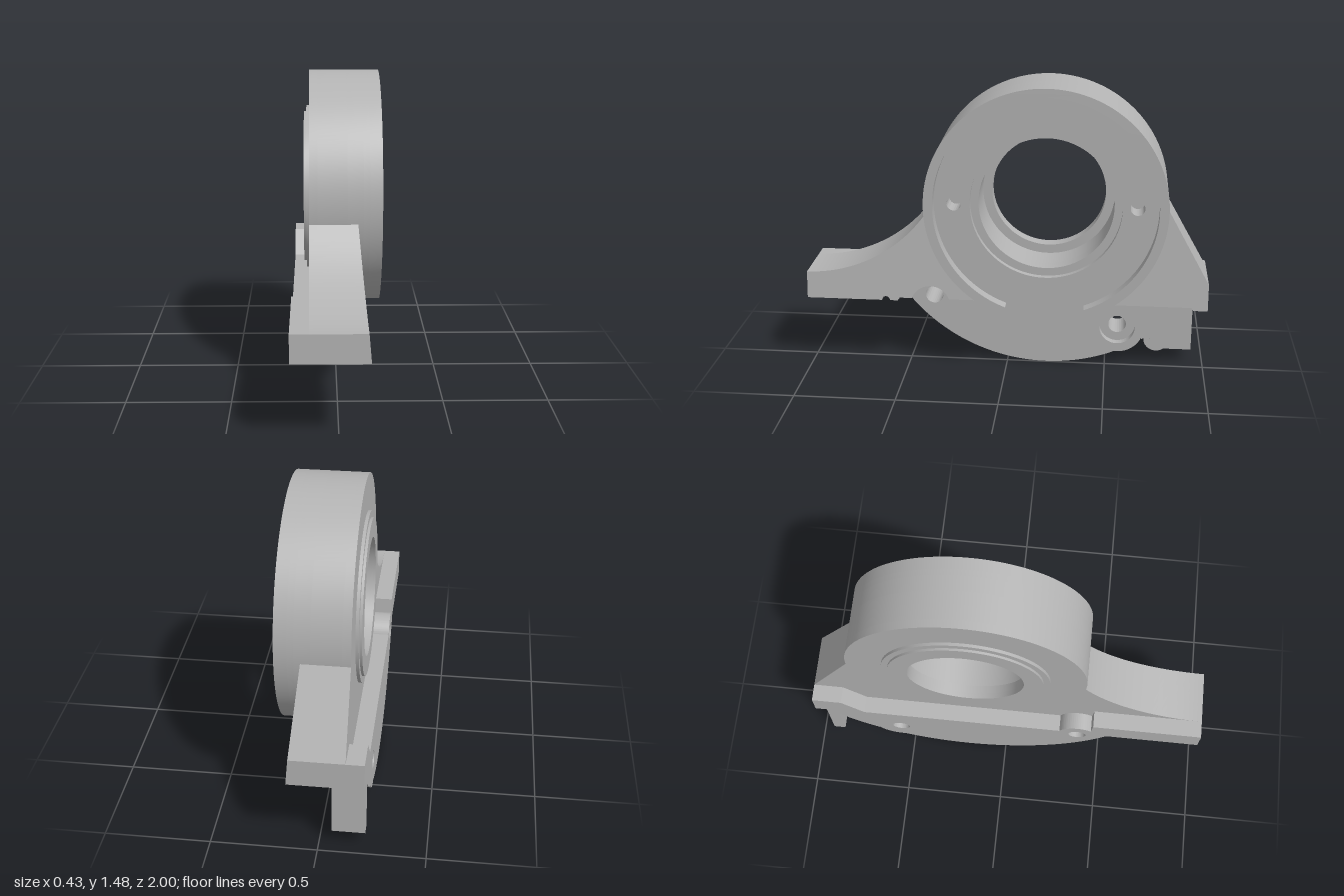
import * as THREE from 'three';
import { toCreasedNormals } from 'three/addons/utils/BufferGeometryUtils.js';

const PI = Math.PI;
const CU = 0.2, CY = 0.895;   // bore centre; profiles use u = -z and y
const CUT = 0.385;            // flat underside of the housing
const DISC = 0.59, PLATE = 0.895;

function circle(u, y, r) {
  return new THREE.Path().absarc(u, y, r, 0, 2 * PI, true);
}

function polygon(points) {
  return new THREE.Shape(points.map(([u, y]) => new THREE.Vector2(u, y)));
}

// angle at which a circle round the bore meets the flat underside
const cutAngle = r => Math.asin((CUT - CY) / r);

export function createModel() {
  const model = new THREE.Group();
  const metal = new THREE.MeshStandardMaterial({ color: 0xb4b4b4 });
  metal.name = 'grey metal';

  // extrude a side profile from x0 to x1; drafted parts lean in towards the top
  function slab(name, shape, x0, x1, holes = [], drafted = false) {
    shape.holes.push(...holes);
    let geo = new THREE.ExtrudeGeometry(shape, { depth: x1 - x0, bevelEnabled: false, curveSegments: 72 });
    geo.rotateY(PI / 2).translate(x0, 0, 0);
    if (drafted) {
      const p = geo.attributes.position;
      for (let i = 0; i < p.count; i++) {
        if (p.getX(i) > (x0 + x1) / 2) p.setX(i, x1 - 0.087 * (p.getY(i) - 0.37));
      }
    }
    geo = toCreasedNormals(geo, 0.45);
    const mesh = new THREE.Mesh(geo, metal);
    mesh.name = name;
    model.add(mesh);
  }

  // housing disc, flat at the bottom, with a stepped bore
  const disc = () => {
    const a = cutAngle(DISC);
    const s = new THREE.Shape();
    s.absarc(CU, CY, DISC, a, PI - a, false);
    s.closePath();
    return s;
  };
  const screws = () => [-0.248, 0.642].map(u => circle(u, CY, 0.035));
  slab('boreLip', disc(), -0.13, -0.09, [circle(CU, CY, 0.285)]);
  slab('housingCore', disc(), -0.09, 0.05, [circle(CU, CY, 0.33)]);
  slab('housingScrewLayer', disc(), 0.05, 0.125, [circle(CU, CY, 0.33), ...screws()]);
  slab('housingFloor', disc(), 0.125, 0.155, [circle(CU, CY, 0.37), ...screws()]);

  // raised rim round the recess, open at the bottom
  const rim = new THREE.Shape();
  const ao = cutAngle(DISC), ai = cutAngle(0.545);
  rim.absarc(CU, CY, DISC, ao, PI - ao, false);
  rim.absarc(CU, CY, 0.545, PI - ai, ai, true);
  rim.closePath();
  slab('housingRim', rim, 0.155, 0.215);

  // stepped rings on the other face
  [[0.412, -0.145, -0.13], [0.38, -0.157, -0.145]].forEach(([r, x0, x1]) => {
    const ring = new THREE.Shape().absarc(CU, CY, r, 0, 2 * PI, false);
    slab('facingRing', ring, x0, x1, [circle(CU, CY, 0.285)]);
  });

  // front web: concave top, arch over the bolt and a small groove beneath
  const front = new THREE.Shape();
  front.moveTo(-1, 0.37);
  front.lineTo(-0.62, 0.37);
  front.absarc(-0.6, 0.37, 0.02, PI, 0, true);
  front.lineTo(-0.54, 0.37);
  front.lineTo(-0.53, CUT);
  front.absarc(-0.375, 0.35, 0.1, PI - 0.357, 0.357, true);
  front.lineTo(-0.1, CUT);
  front.lineTo(-0.25, 0.75);
  front.lineTo(-0.385, 0.832);
  front.absarc(-1, 1.24, 0.735, -0.587, -PI / 2, true);
  front.closePath();
  slab('frontWeb', front, -0.13, 0.14, [], true);

  // rear web with a straight slope
  slab('rearWeb', polygon([[0.93, 0.37], [1, 0.37], [1, 0.505], [0.785, 0.885],
    [0.65, 0.75], [0.5, CUT], [0.92, CUT]]), -0.13, 0.14, [], true);

  // foot strips beside the webs, ramped down to the ledge
  slab('frontFoot', polygon([[-1, 0.37], [-0.5, 0.37], [-0.44, CUT], [-0.45, 0.505], [-1, 0.505]]), -0.215, -0.13);
  slab('rearFoot', polygon([[0.74, CUT], [0.92, CUT], [0.93, 0.37], [1, 0.37], [1, 0.505], [0.85, 0.505]]), -0.215, -0.13);

  // lower segment plate with two bolt bosses
  const plate = () => {
    const a = cutAngle(PLATE);
    const s = new THREE.Shape();
    s.absarc(CU, CY, PLATE, PI - a, 2 * PI - 1.181, false);
    s.absarc(0.56, 0.205, 0.135, -1.7, -0.41, false);
    s.absarc(CU, CY, PLATE, -1.0, a, false);
    s.absarc(-0.375, 0.35, 0.1, 0.357, PI - 0.357, false);
    s.closePath();
    return s;
  };
  const frontBolt = () => circle(-0.375, 0.35, 0.045);
  slab('lowerPlate', plate(), -0.215, -0.045, [frontBolt(), circle(0.56, 0.205, 0.045)]);
  slab('lowerPlateFace', plate(), -0.045, -0.005, [frontBolt(), circle(0.56, 0.205, 0.09)]);

  // bracket hanging below the rear foot
  const box = (u0, u1) => polygon([[u0, 0.07], [u1, 0.07], [u1, 0.375], [u0, 0.375]]);
  slab('bracketPost', box(0.88, 0.94), -0.215, -0.06);
  slab('bracketPlate', box(0.73, 0.94), -0.12, -0.06);
  slab('bracketKnob', new THREE.Shape().absarc(0.762, 0.12, 0.065, 0, 2 * PI, false), -0.17, -0.065);

  return model;
}
